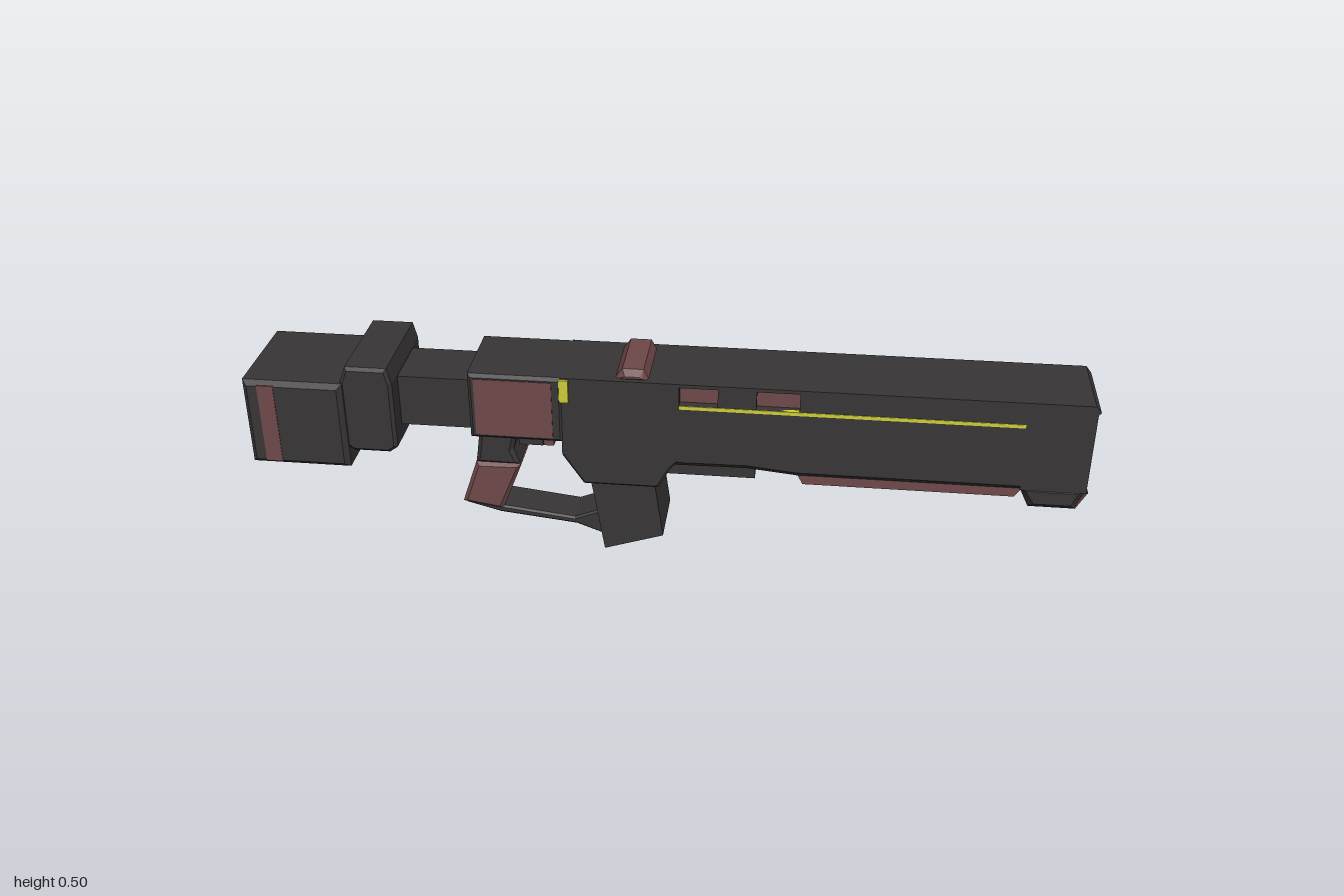
import * as THREE from 'three';

const paint = (color) => new THREE.MeshStandardMaterial({ color, flatShading: true });

export function createModel() {
  const gun = new THREE.Group();
  const dark = paint(0x383536), red = paint(0x6e4848), yellow = paint(0xcccc3a);

  function add(name, geometry, material, x = 0, y = 0, z = 0) {
    const mesh = new THREE.Mesh(geometry, material);
    mesh.name = name;
    mesh.position.set(x, y, z);
    gun.add(mesh);
    return mesh;
  }
  const toShape = (points) => new THREE.Shape(points.map(([x, y]) => new THREE.Vector2(x, y)));
  const rect = (x0, x1, y0, y1) => [[x0, y0], [x1, y0], [x1, y1], [x0, y1]];

  // Side profile made into a slab from z0 to z1, with chamfered edges
  function slab(name, points, z0, z1, material, bevel = 0, holes = []) {
    const shape = toShape(points);
    shape.holes = holes.map(toShape);
    const geometry = new THREE.ExtrudeGeometry(shape, {
      depth: z1 - z0 - 2 * bevel, bevelEnabled: bevel > 0, bevelThickness: bevel,
      bevelSize: bevel, bevelOffset: -bevel, bevelSegments: 1,
    });
    return add(name, geometry, material, 0, 0, z0 + bevel);
  }
  const centred = (name, points, half, material, bevel, holes) =>
    slab(name, points, -half, half, material, bevel, holes);
  function box(name, x0, x1, y0, y1, z0, z1, material) {
    return add(name, new THREE.BoxGeometry(x1 - x0, y1 - y0, z1 - z0), material,
      (x0 + x1) / 2, (y0 + y1) / 2, (z0 + z1) / 2);
  }

  // Shoulder stock, collar and connecting tube
  centred('stock', rect(-0.997, -0.755, 0.225, 0.45), 0.14, dark, 0.012);
  box('stockBackPlate', -1, -0.99, 0.245, 0.43, -0.115, 0.115, yellow);
  centred('stockCollar', [[-0.76, 0.285], [-0.745, 0.27], [-0.655, 0.27], [-0.635, 0.285],
    [-0.635, 0.455], [-0.645, 0.495], [-0.745, 0.495], [-0.76, 0.455]], 0.132, dark, 0.008);
  box('stockTube', -0.65, -0.44, 0.32, 0.45, -0.075, 0.075, dark);

  // Rear receiver
  centred('rearReceiver', rect(-0.46, -0.235, 0.31, 0.481), 0.105, dark, 0.008);

  // Main body: lower half, recessed core and top
  centred('lowerBody', [[-0.24, 0.275], [0.86, 0.28], [0.86, 0.416], [-0.24, 0.416]], 0.1, dark);
  box('upperCore', -0.24, 0.86, 0.41, 0.475, -0.07, 0.07, dark);
  box('topPlate', -0.24, 0.86, 0.472, 0.481, -0.1, 0.1, dark);
  centred('receiverBelly', [[-0.24, 0.285], [-0.24, 0.27], [-0.19, 0.195], [-0.01, 0.195],
    [0.02, 0.25], [0.05, 0.285]], 0.1, dark, 0.006);
  centred('forendBelly', [[0.02, 0.255], [0.2, 0.257], [0.32, 0.245], [0.86, 0.245],
    [0.86, 0.3], [0.02, 0.3]], 0.1, dark, 0.016);
  centred('forendRail', [[0.32, 0.25], [0.335, 0.222], [0.83, 0.222], [0.85, 0.25]], 0.085, red);
  centred('undersideBlock', rect(-0.02, 0.22, 0.215, 0.265), 0.06, dark);

  // Muzzle jaws and chin around a stepped recess
  centred('muzzleTopJaw', [[0.84, 0.481], [0.985, 0.481], [0.998, 0.465], [0.93, 0.405],
    [0.84, 0.405]], 0.1, dark);
  centred('muzzleLowerJaw', [[0.84, 0.25], [0.997, 0.25], [0.93, 0.33], [0.84, 0.33]], 0.1, dark);
  centred('muzzleChin', [[0.835, 0.26], [0.865, 0.198], [0.972, 0.198], [0.994, 0.26]],
    0.1, dark, 0.016);
  box('barrelBack', 0.84, 0.87, 0.32, 0.41, -0.095, 0.095, dark);
  const chinPlate = add('chinFrontPlate', new THREE.ExtrudeGeometry(
    toShape([[-0.08, 0], [0.08, 0], [0.098, 0.06], [-0.098, 0.06]]),
    { depth: 0.006, bevelEnabled: false }), red, 0.97, 0.197, 0);
  chinPlate.rotation.order = 'ZYX';
  chinPlate.rotation.set(0, Math.PI / 2, -0.35);

  // Parts repeated on both sides
  for (const side of [-1, 1]) {
    const panel = (name, points, inner, outer, material, holes) =>
      slab(name, points, Math.min(side * inner, side * outer),
        Math.max(side * inner, side * outer), material, 0, holes);
    panel('upperSidePlate', rect(-0.24, 0.86, 0.416, 0.481), 0.07, 0.1, dark,
      [rect(0.04, 0.13, 0.425, 0.475), rect(0.22, 0.32, 0.425, 0.475)]);
    for (const x of [0.04, 0.22]) {
      panel('ventInsert', rect(x, x + 0.1, 0.42, 0.475), 0.06, 0.08, red);
    }
    panel('lightStrip', rect(0.04, 0.835, 0.416, 0.425), 0.09, 0.1015, yellow);
    panel('indicator', rect(-0.242, -0.22, 0.42, 0.478), 0.09, 0.107, yellow);
    panel('receiverPanel', rect(-0.445, -0.26, 0.322, 0.47), 0.09, 0.107, red);
    panel('stockStripe', rect(-0.96, -0.92, 0.235, 0.44), 0.12, 0.1415, red);
    panel('muzzleWall', [[0.84, 0.25], [0.992, 0.25], [0.992, 0.465], [0.98, 0.481],
      [0.84, 0.481]], 0.088, 0.1, dark);
    panel('barrelCheek', rect(0.84, 0.92, 0.325, 0.41), 0.065, 0.09, dark);
  }

  // Low sight on top
  centred('topSight', [[-0.115, 0.475], [-0.095, 0.504], [-0.045, 0.504], [-0.03, 0.475]],
    0.092, red, 0.014);

  // Rear grip, trigger and hand guard
  centred('gripNeck', [[-0.45, 0.315], [-0.46, 0.24], [-0.465, 0.208], [-0.355, 0.208],
    [-0.37, 0.25], [-0.355, 0.315]], 0.055, dark, 0.01);
  centred('grip', [[-0.465, 0.21], [-0.505, 0.092], [-0.405, 0.075], [-0.352, 0.21]],
    0.055, red, 0.01);
  box('triggerHousing', -0.37, -0.24, 0.295, 0.315, -0.06, 0.06, dark);
  box('triggerMount', -0.36, -0.3, 0.255, 0.3, -0.03, 0.03, dark);
  box('trigger', -0.31, -0.275, 0.25, 0.305, -0.02, 0.02, red);
  centred('handGuard', [[-0.5, 0.093], [-0.41, 0.066], [-0.22, 0.045], [-0.14, 0.015],
    [-0.14, 0.1], [-0.165, 0.088], [-0.225, 0.064], [-0.4, 0.085]], 0.05, dark, 0.005);
  centred('rearSlopeLight', [[-0.239, 0.262], [-0.244, 0.258], [-0.202, 0.202], [-0.197, 0.206]],
    0.06, yellow);

  // Front handle
  centred('frontHandle', [[-0.178, 0.21], [-0.145, 0], [0, 0.048], [-0.022, 0.21]], 0.082, dark);

  return gun;
}
